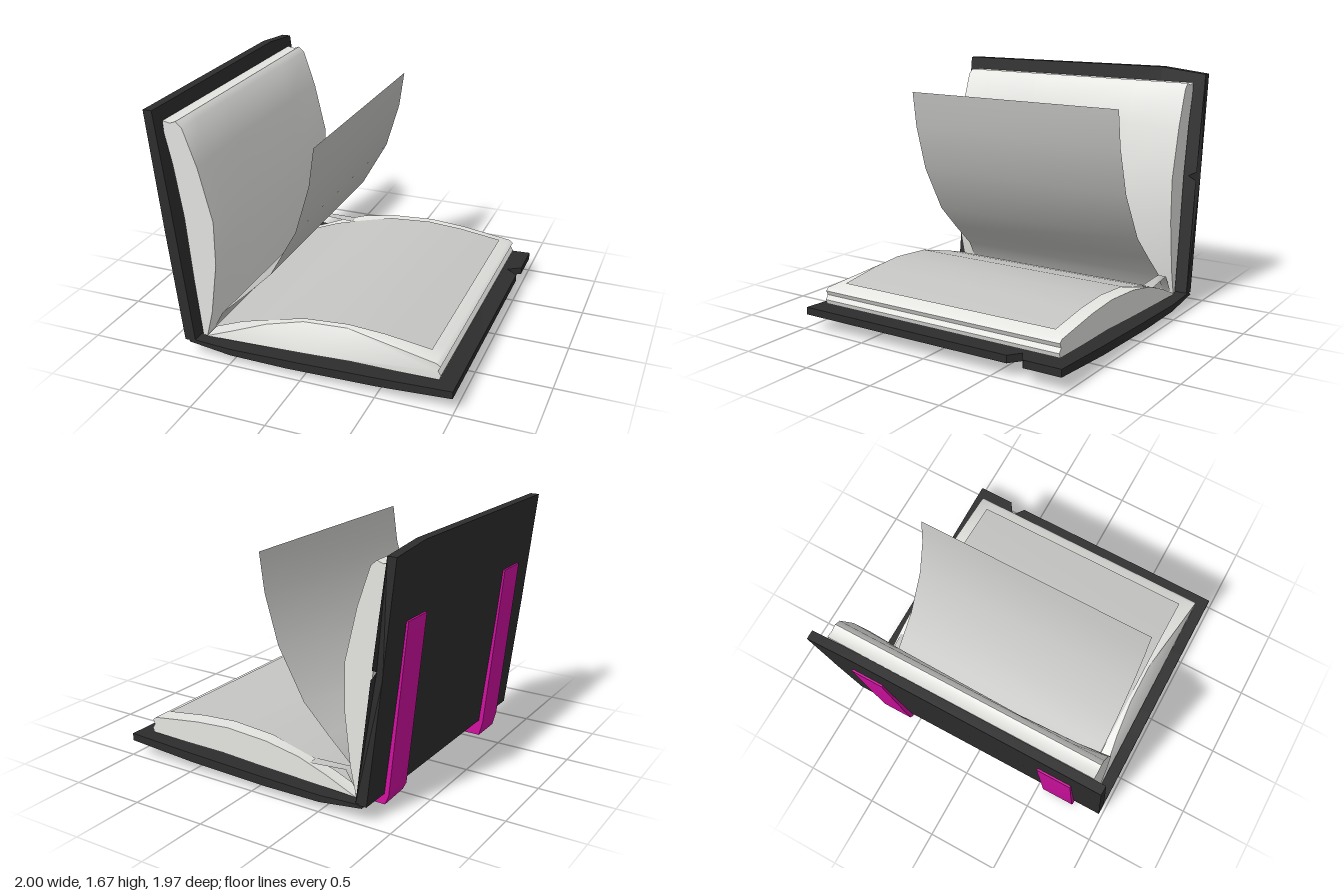
import * as THREE from 'three';
import { toCreasedNormals } from 'three/addons/utils/BufferGeometryUtils.js';

const mat = (name, color, side = THREE.FrontSide) => {
  const m = new THREE.MeshStandardMaterial({ color, side });
  m.name = name;
  return m;
};

// Closed solid through cross-sections (counter-clockwise in xy, ordered from back to front)
function loft(sections, crease = 0.6) {
  const n = sections[0].length, pos = [], index = [];
  sections.forEach((s) => s.forEach((p) => pos.push(...p)));
  for (let s = 0; s < sections.length - 1; s++) {
    for (let i = 0; i < n; i++) {
      const a = s * n + i, b = s * n + (i + 1) % n;
      index.push(a, b, a + n, b, b + n, a + n);
    }
  }
  const cap = (s) => THREE.ShapeUtils.triangulateShape(
    sections[s].map(([x, y]) => new THREE.Vector2(x, y)), []);
  const last = sections.length - 1;
  cap(0).forEach(([a, b, c]) => index.push(a, c, b));
  cap(last).forEach(([a, b, c]) => index.push(a + last * n, b + last * n, c + last * n));
  const g = new THREE.BufferGeometry();
  g.setAttribute('position', new THREE.Float32BufferAttribute(pos, 3));
  g.setIndex(index);
  return toCreasedNormals(g, crease);
}

// Single curved leaf: each row is [x, y, zBack, zFront]
function leaf(rows) {
  const g = new THREE.PlaneGeometry(1, 1, 1, rows.length - 1);
  rows.forEach(([x, y, z0, z1], i) => {
    g.attributes.position.setXYZ(i * 2, x, y, z0);
    g.attributes.position.setXYZ(i * 2 + 1, x, y, z1);
  });
  g.computeVertexNormals();
  return g;
}

export function createModel() {
  const group = new THREE.Group();
  const black = mat('coverBlack', 0x2d2d2d);
  const paper = mat('paperWhite', 0xe4e4e1);
  const grey = mat('leafGrey', 0xc6c6c4, THREE.DoubleSide);
  const magenta = mat('strapMagenta', 0xd010a0);
  const add = (name, geometry, material) => {
    const m = new THREE.Mesh(geometry, material);
    m.name = name;
    group.add(m);
  };

  // Lying cover, with a V notch in its outer edge
  const lying = (z, end) => [
    [-0.8, 0.1], [-0.5, 0.06], [-0.1, 0.055], [0.5, 0.07], [end, 0.1],
    [end, 0.15], [0.5, 0.13], [0, 0.115], [-0.5, 0.105], [-0.77, 0.12],
  ].map(([x, y]) => [x, y, z]);
  add('lyingCover', loft([[-0.99, 1], [-0.73, 1], [-0.67, 0.91], [-0.61, 0.99], [0.98, 0.99]]
    .map(([z, end]) => lying(z, end)), 0.3), black);

  // Standing cover, with a small notch in its back edge and a clipped top corner
  const standing = (z, notchZ, top) => [
    [-0.75, 0.11, z], [-0.845, 0.91, z], [-0.849, 0.94, notchZ], [-0.852, 0.97, z],
    [-0.94, top, z], [-1, top, z],
    [-0.925, 0.97, z], [-0.922, 0.94, notchZ], [-0.919, 0.91, z], [-0.825, 0.11, z],
  ];
  add('standingCover', loft([
    standing(-0.98, -0.92, 1.64), standing(-0.65, -0.65, 1.675), standing(0.98, 0.98, 1.665),
  ], 0.3), black);

  // Pages resting against the standing cover, hollowed a little towards the middle
  const leftPages = (z, hollow) => [
    [-0.735, 0.12, 0], [-0.705, 0.12, 0], [-0.66, 0.3, 0.4], [-0.612, 0.65, 1], [-0.612, 0.95, 1],
    [-0.7, 1.3, 0.5], [-0.79, 1.55, 0], [-0.83, 1.585, 0], [-0.87, 1.57, 0], [-0.92, 1.58, 0],
    [-0.915, 1.5, 0], [-0.87, 1.3, 0], [-0.815, 0.95, 0], [-0.775, 0.5, 0],
  ].map(([x, y, k]) => [x - hollow * k, y, z]);
  add('leftPageBlock', loft([[-0.9, 0.01], [-0.5, 0.03], [0.3, 0.06], [0.7, 0.03], [0.9, 0]]
    .map(([z, h]) => leftPages(z, h)), 0.7), paper);

  // Pages lying flat: domed top, layered outer edge, sloping front end
  const rightPages = (z, slope, lift) => [
    [-0.71, 0.115, 0], [-0.4, 0.125, 0], [0, 0.14, 0], [0.3, 0.155, 0], [0.6, 0.155, 0],
    [0.88, 0.16, 0], [0.89, 0.19, 0], [0.87, 0.22, 0], [0.885, 0.25, 0], [0.86, 0.27, 0],
    [0.5, 0.32, 0.8], [0.25, 0.338, 1], [-0.05, 0.32, 1], [-0.3, 0.26, 0.7], [-0.5, 0.19, 0.3],
  ].map(([x, y, k], i) => [x, y + (i > 12 ? lift : 0), z - slope * k]);
  add('rightPageBlock', loft([
    rightPages(-0.91, 0, 0.015), rightPages(-0.8, 0, 0), rightPages(0.7, 0, 0), rightPages(0.9, 0.08, 0),
  ], 0.7), paper);

  // Top leaf on the lying pages
  add('topLeaf', leaf([
    [-0.7, 0.13], [-0.5, 0.21], [-0.36, 0.25], [-0.05, 0.33], [0.25, 0.352], [0.5, 0.336], [0.8, 0.295],
  ].map(([x, y]) => [x, y, -0.83, 0.8])), grey);

  // Leaf caught in mid turn
  add('turningLeaf', leaf([
    [-0.71, 0.12], [-0.64, 0.25], [-0.46, 0.42], [-0.28, 0.6], [-0.095, 0.93], [0, 1.25], [0.035, 1.5],
  ].map(([x, y]) => [x, y, -0.82, 0.805])), grey);

  // Curled corner near the fold, at the back
  add('curledCorner', leaf([
    [-0.7, 0.13, -0.88, -0.82], [-0.62, 0.26, -0.88, -0.82], [-0.37, 0.25, -0.9, -0.82],
  ]), grey);

  // Two straps wrapping under the lying cover and up the standing one
  const strap = (z, base) => [
    [-0.83, base], [0.55, base], [0.55, 0.085], [-0.5, 0.075], [-0.8, 0.12],
    [-0.94, 1.22], [-0.965, 1.22], [-0.855, 0.1],
  ].map(([x, y]) => [x, y, z]);
  add('frontStrap', loft([strap(0.55, 0), strap(0.78, 0)], 0.3), magenta);
  add('backStrap', loft([strap(-0.77, 0.04), strap(-0.55, 0.05)], 0.3), magenta);

  return group;
}
